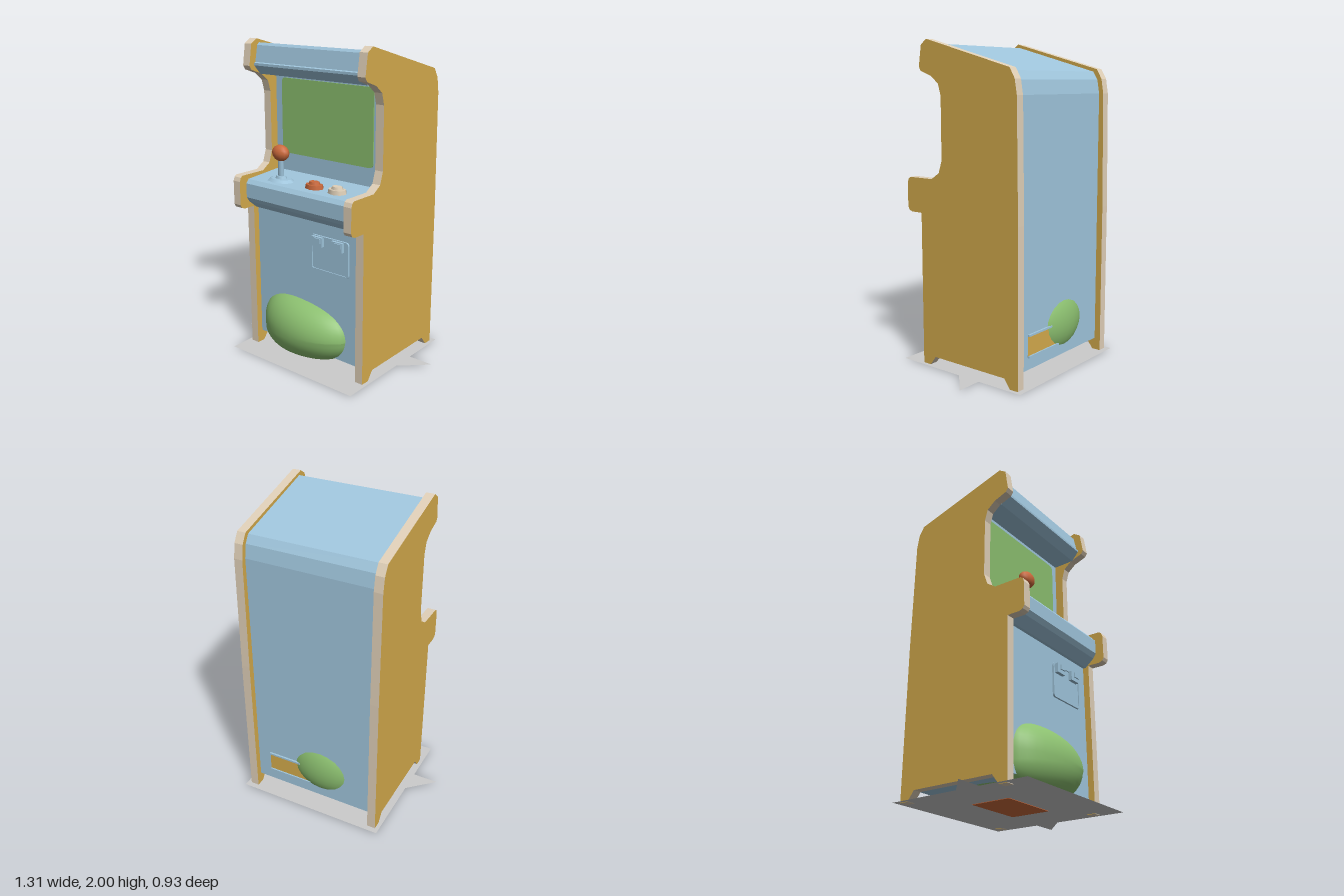
import * as THREE from 'three';

const mat = (name, color, side = THREE.FrontSide) => {
  const m = new THREE.MeshStandardMaterial({ color, side });
  m.name = name;
  return m;
};

export function createModel() {
  const blue = mat('blue', 0xa0c6dd);
  const gold = mat('gold', 0xd4ab4c);
  const cream = mat('cream', 0xe0d0b8);
  const green = mat('green', 0x8cc070);
  const red = mat('red', 0xcc6a3c);
  const grey = mat('grey', 0xcccccc, THREE.DoubleSide);

  const root = new THREE.Group();
  root.name = 'arcadeCabinet';
  const add = (name, geo, material, x = 0, y = 0, z = 0, parent = root) => {
    const m = new THREE.Mesh(geo, material);
    m.name = name;
    m.position.set(x, y, z);
    parent.add(m);
    return m;
  };

  // Extrude a [z, y] outline along x, centred on x = 0
  const slab = (points, width) => {
    const shape = new THREE.Shape(points.map(([z, y]) => new THREE.Vector2(z, y)));
    const g = new THREE.ExtrudeGeometry(shape, { depth: width, bevelEnabled: false });
    return g.translate(0, 0, -width / 2).rotateY(-Math.PI / 2);
  };

  // Rounded rectangle plate facing +z, optionally hollow
  const roundRect = (path, w, h, r) => {
    const x = w / 2, y = h / 2;
    path.moveTo(-x + r, -y);
    path.lineTo(x - r, -y);
    path.quadraticCurveTo(x, -y, x, -y + r);
    path.lineTo(x, y - r);
    path.quadraticCurveTo(x, y, x - r, y);
    path.lineTo(-x + r, y);
    path.quadraticCurveTo(-x, y, -x, y - r);
    path.lineTo(-x, -y + r);
    path.quadraticCurveTo(-x, -y, -x + r, -y);
    return path;
  };
  const plate = (w, h, r, depth, rim = 0) => {
    const s = roundRect(new THREE.Shape(), w, h, r);
    if (rim) s.holes.push(roundRect(new THREE.Path(), w - 2 * rim, h - 2 * rim, r * 0.7));
    return new THREE.ExtrudeGeometry(s, { depth, bevelEnabled: false, curveSegments: 4 });
  };

  // Side panels: gold faces, cream edges
  const sideOutline = [
    [0.32, 0], [0.265, 0], [0.22, 0.06], [-0.33, 0.06], [-0.375, 0], [-0.43, 0],
    [-0.43, 0.96], [-0.42, 1.68], [-0.405, 1.77], [-0.37, 1.83], [0.255, 2],
    [0.3, 1.97], [0.32, 1.84], [0.305, 1.815], [0.22, 1.785], [0.165, 1.74],
    [0.145, 1.67], [0.145, 1.29], [0.17, 1.215], [0.23, 1.175], [0.41, 1.175],
    [0.425, 1.165], [0.435, 1.14], [0.435, 0.99], [0.425, 0.97], [0.4, 0.96], [0.32, 0.96],
  ].reverse();
  const sideGeo = slab(sideOutline, 0.055);
  for (const s of [-1, 1]) add(s > 0 ? 'leftSide' : 'rightSide', sideGeo, [gold, cream], s * 0.4375);

  // Body between the panels
  const bodyOutline = [
    [0.28, 0.08], [0.28, 0.95], [0.3, 0.95], [0.36, 1], [0.38, 1.03], [0.38, 1.12],
    [0.36, 1.145], [0.09, 1.165], [0.09, 1.78], [0.23, 1.785], [0.28, 1.84],
    [0.28, 1.855], [0.27, 1.86], [0.25, 1.96], [0.235, 1.975], [-0.345, 1.815],
    [-0.375, 1.765], [-0.39, 1.68], [-0.39, 0.08],
  ];
  add('body', slab(bodyOutline, 0.822), blue);

  // Screen
  add('screen', plate(0.715, 0.475, 0.03, 0.008), green, 0, 1.517, 0.088);

  // Coin door with rim and two slots
  const door = new THREE.Group();
  door.name = 'coinDoor';
  door.position.set(0.187, 0.752, 0.28);
  root.add(door);
  add('doorPanel', plate(0.27, 0.205, 0.015, 0.006), blue, 0, 0, 0, door);
  add('doorRim', plate(0.29, 0.225, 0.02, 0.012, 0.01), blue, 0, 0, 0, door);
  for (const x of [-0.085, 0.07]) {
    add('coinSlot', new THREE.BoxGeometry(0.08, 0.06, 0.03), blue, x, 0.078, 0.015, door);
    add('coinButton', new THREE.BoxGeometry(0.045, 0.03, 0.012), blue, x + 0.01, 0.088, 0.032, door);
  }

  // Joystick, flattened front to back
  const stick = new THREE.Group();
  stick.name = 'joystick';
  stick.position.set(-0.21, 1.15, 0.275);
  stick.scale.z = 0.68;
  root.add(stick);
  add('stickBase', new THREE.CylinderGeometry(0.075, 0.1, 0.016, 8), blue, 0, 0.008, 0, stick);
  add('stickCollar', new THREE.CylinderGeometry(0.035, 0.045, 0.02, 8), blue, 0, 0.022, 0, stick);
  add('stickShaft', new THREE.CylinderGeometry(0.022, 0.022, 0.13, 8), blue, 0, 0.08, 0, stick);
  add('stickBall', new THREE.SphereGeometry(0.062, 12, 8).scale(1, 0.82, 1), red, 0, 0.175, 0, stick);

  // Push buttons
  for (const [x, m] of [[0.06, red], [0.235, cream]]) {
    const b = new THREE.Group();
    b.name = 'pushButton';
    b.position.set(x, 1.148, 0.275);
    b.scale.z = 0.68;
    root.add(b);
    add('buttonRing', new THREE.CylinderGeometry(0.06, 0.066, 0.026, 8), m, 0, 0.013, 0, b);
    add('buttonCap', new THREE.CylinderGeometry(0.035, 0.042, 0.018, 8), m, 0, 0.034, 0, b);
  }

  // Lumpy green mass: front bulge, back bulge and belly under the body
  const bulge = new THREE.SphereGeometry(1, 32, 24);
  const p = bulge.attributes.position;
  for (let i = 0; i < p.count; i++) {
    const x = p.getX(i), y = p.getY(i), z = p.getZ(i);
    const fat = 1 + 0.3 * x * x * y * y;
    const dip = y > 0 ? -0.03 * x * y : 0.03 * x;
    p.setXYZ(i, x * 0.342 * fat, y * 0.2 * fat + dip, z * 0.18);
  }
  bulge.computeVertexNormals();
  add('frontBulge', bulge, green, -0.028, 0.21, 0.24);
  add('backBulge', new THREE.SphereGeometry(1, 24, 16).scale(0.25, 0.2, 0.12), green, -0.05, 0.28, -0.305);
  add('belly', new THREE.SphereGeometry(1, 24, 16).scale(0.32, 0.12, 0.3), green, 0, 0.13, 0);

  // Back opening with rails
  add('backOpening', new THREE.BoxGeometry(0.3, 0.12, 0.006), gold, 0.17, 0.225, -0.39);
  for (const y of [0.16, 0.29]) {
    add('backRail', new THREE.BoxGeometry(0.3, 0.012, 0.016), blue, 0.17, y, -0.394);
  }

  // Red plate beneath, tapering toward the front
  add('underPlate', slab([[0.13, 0], [0.13, 0.015], [-0.13, 0.035], [-0.13, 0]].reverse(), 0.39), red);

  // Floor sheet with one spike on each side
  const floor = new THREE.Shape([
    [-0.49, -0.465], [0.49, -0.465], [0.49, -0.155], [0.655, -0.155], [0.49, 0],
    [0.49, 0.465], [-0.49, 0.465], [-0.49, 0.155], [-0.655, 0.155], [-0.49, 0],
  ].map(([x, z]) => new THREE.Vector2(x, z)));
  add('floorSheet', new THREE.ShapeGeometry(floor).rotateX(Math.PI / 2), grey, 0, 0.003, 0);

  return root;
}
